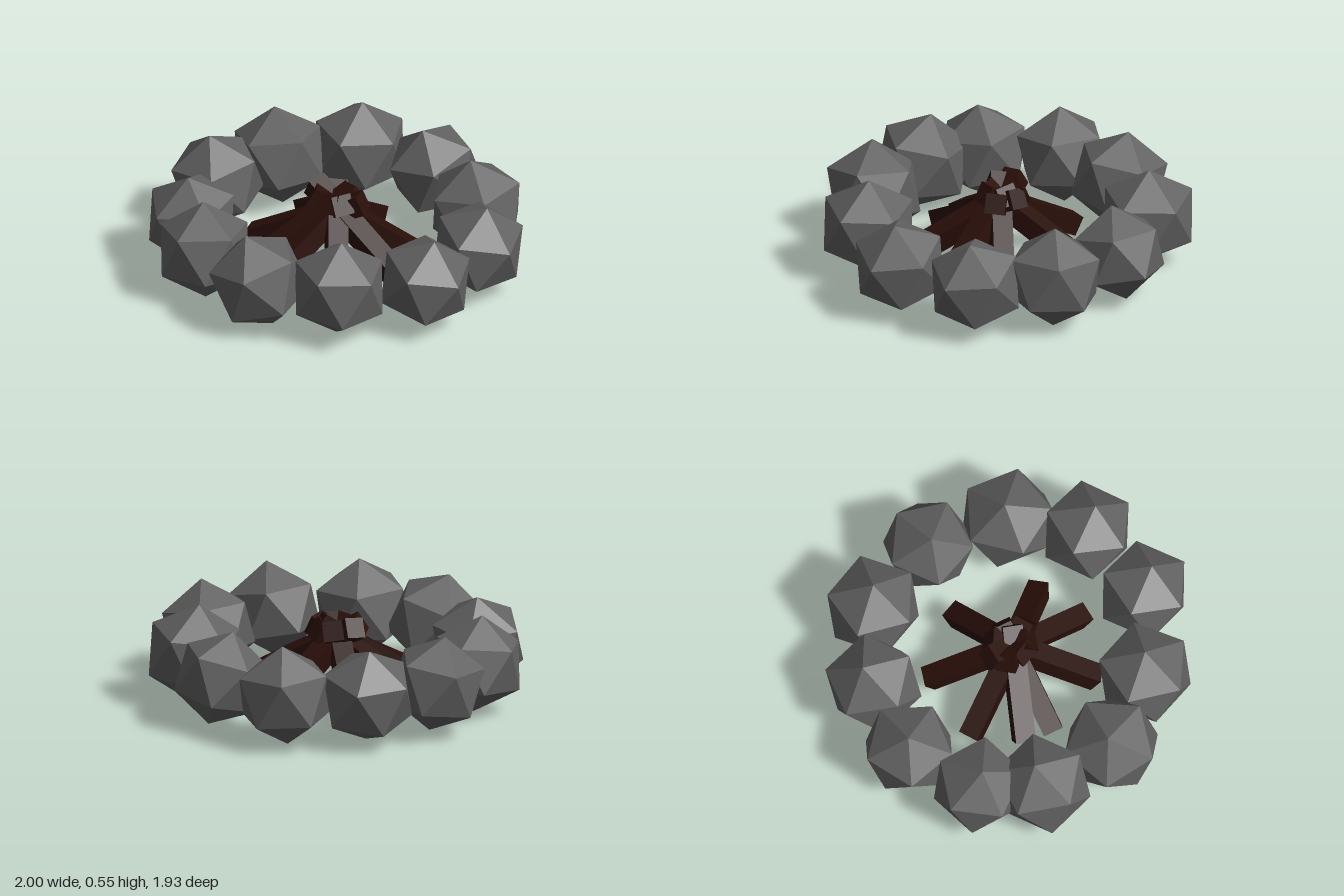
import * as THREE from 'three';

// [centre x, y, z, radius, uppermost corner dx, dz, bearing of a neighbouring corner in degrees (x towards z)]
const STONES = [
  [0.075, 0.265, -0.75, 0.258, -0.03, 0.06, -26],
  [0.485, 0.265, -0.58, 0.272, -0.03, 0.01, -33],
  [0.75, 0.265, -0.25, 0.262, 0.06, 0, 12],
  [0.745, 0.268, 0.2, 0.262, 0.06, 0, 10],
  [0.44, 0.28, 0.55, 0.27, 0.01, -0.01, -62],
  [0.045, 0.267, 0.725, 0.272, -0.06, 0.04, 65],
  [-0.375, 0.268, 0.65, 0.268, -0.03, -0.03, -56],
  [-0.63, 0.265, 0.43, 0.26, 0, 0.03, -42],
  [-0.765, 0.275, 0.03, 0.262, -0.03, 0.03, -16],
  [-0.66, 0.27, -0.365, 0.267, -0.05, -0.03, -53],
  [-0.37, 0.268, -0.69, 0.27, 0.01, -0.01, -64],
];

// Logs: [foot x, foot z, reach of the top beyond the middle, top height, roll]
const LOGS = [
  [-0.05, -0.44, 0.09, 0.42, 0.05],
  [0.4, -0.23, 0.13, 0.43, 0.2],
  [0.48, 0.05, 0.16, 0.44, -0.15],
  [0.29, 0.37, 0.13, 0.42, 0.2],
  [-0.1, 0.44, 0.13, 0.41, -0.2],
  [-0.26, 0.38, 0.1, 0.43, 0.15],
  [-0.46, 0.16, 0.15, 0.41, -0.05],
  [-0.41, -0.25, 0.1, 0.42, 0.05],
];

// Orthonormal frame with y along a and x leaning towards b
function frame(a, b) {
  const y = a.clone().normalize();
  const x = b.clone().addScaledVector(y, -b.dot(y)).normalize();
  return new THREE.Matrix4().makeBasis(x, y, new THREE.Vector3().crossVectors(x, y));
}

export function createModel() {
  const group = new THREE.Group();
  const stoneMat = new THREE.MeshStandardMaterial({ color: 0x626262, flatShading: true });
  const logMat = new THREE.MeshStandardMaterial({ color: 0x2a0f09, flatShading: true });

  // Ring of stones: icosahedra turned by a corner and its neighbour
  const ico = new THREE.IcosahedronGeometry(1, 0);
  const corner = new THREE.Vector3(-1, (1 + Math.sqrt(5)) / 2, 0);
  const next = new THREE.Vector3(1, (1 + Math.sqrt(5)) / 2, 0);
  const upright = frame(corner, next).invert();
  const ring = new THREE.Group();
  ring.name = 'stoneRing';
  STONES.forEach(([x, y, z, r, dx, dz, deg], i) => {
    const t = THREE.MathUtils.degToRad(deg);
    const up = new THREE.Vector3(dx, Math.sqrt(r * r - dx * dx - dz * dz), dz);
    const turn = frame(up, new THREE.Vector3(Math.cos(t), 0, Math.sin(t))).multiply(upright);
    const stone = new THREE.Mesh(ico, stoneMat);
    stone.name = `stone${i + 1}`;
    stone.quaternion.setFromRotationMatrix(turn);
    stone.scale.setScalar(r);
    stone.position.set(x, y, z);
    ring.add(stone);
  });
  group.add(ring);

  // Logs leaning together and crossing just below their tops
  const pile = new THREE.Group();
  pile.name = 'logPile';
  LOGS.forEach(([x, z, reach, height, roll], i) => {
    const r = Math.hypot(x, z);
    const foot = new THREE.Vector3(x * 0.95, 0.1, z * 0.95);
    const top = new THREE.Vector3((-x / r) * reach, height, (-z / r) * reach);
    const axis = top.clone().sub(foot);
    const log = new THREE.Mesh(new THREE.BoxGeometry(0.108, axis.length(), 0.108), logMat);
    log.name = `log${i + 1}`;
    log.quaternion.setFromRotationMatrix(frame(axis, new THREE.Vector3(-z, 0, x)));
    log.rotateY(roll);
    log.position.addVectors(foot, top).multiplyScalar(0.5);
    pile.add(log);
  });
  group.add(pile);
  return group;
}
